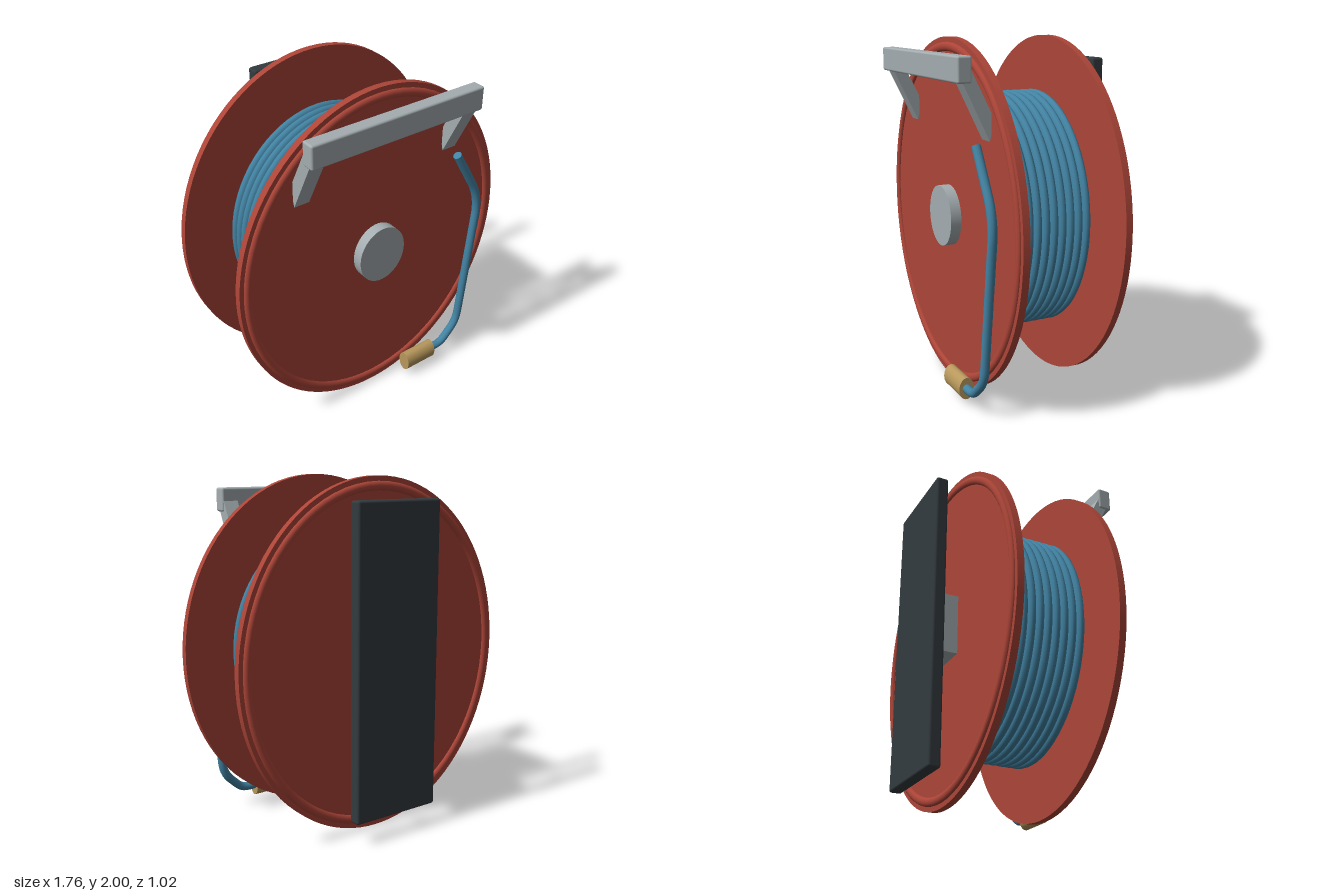
import * as THREE from 'three';
import { RoundedBoxGeometry } from 'three/addons/geometries/RoundedBoxGeometry.js';

const SQUASH_X = 0.882; // round parts of the reel are slightly narrow in x
const SQUASH_Z = 0.7;   // and flattened in depth
const AXLE_Y = 1;

function material(name, color) {
  const m = new THREE.MeshStandardMaterial({ color });
  m.name = name;
  return m;
}

export function createModel() {
  const red = material('red paint', 0xad4538);
  const steel = material('light steel', 0xa4adb0);
  const dark = material('dark steel', 0x333b3f);
  const blue = material('blue hose', 0x4283a3);
  const brass = material('brass', 0xb8985c);

  const model = new THREE.Group();
  model.name = 'hoseReel';

  function add(parent, name, geometry, mat, x = 0, y = 0, z = 0) {
    const mesh = new THREE.Mesh(geometry, mat);
    mesh.name = name;
    mesh.position.set(x, y, z);
    parent.add(mesh);
    return mesh;
  }

  // Elliptical drum lying along z between two depths
  function drum(name, radius, z0, z1, mat, y = AXLE_Y, segments = 64) {
    const g = new THREE.CylinderGeometry(radius, radius, z1 - z0, segments);
    g.rotateX(Math.PI / 2).scale(SQUASH_X, 1, 1);
    return add(model, name, g, mat, 0, y, (z0 + z1) / 2);
  }

  // Elliptical ring around the axle
  function ring(parent, name, radius, tube, z, mat) {
    const g = new THREE.TorusGeometry(radius, tube, 12, 72);
    g.scale(SQUASH_X, 1, SQUASH_Z);
    return add(parent, name, g, mat, 0, AXLE_Y, z);
  }

  // Side discs with a raised bead on the outer face
  for (const [label, s] of [['front', 1], ['back', -1]]) {
    drum(label + 'Disc', 1, s * 0.3 - 0.02, s * 0.3 + 0.02, red, AXLE_Y, 96);
    ring(model, label + 'DiscBead', 0.947, 0.025, s * 0.32, red);
  }

  // Core, axle cap and mounting block
  drum('core', 0.345, -0.285, 0.285, dark);
  drum('axleCap', 0.174, 0.31, 0.382, steel);
  add(model, 'mountingBlock', new THREE.BoxGeometry(0.354, 0.354, 0.14), steel, 0, AXLE_Y, -0.38);

  // Wound hose: outer turns over the packed inner layers
  const coil = new THREE.Group();
  coil.name = 'hoseCoil';
  model.add(coil);
  for (let i = 0; i < 10; i++) ring(coil, 'hoseTurn', 0.658, 0.034, -0.225 + i * 0.05, blue);
  drum('innerHoseLayers', 0.645, -0.225, 0.225, blue);

  // Wall plate and its bolts
  add(model, 'wallPlate', new RoundedBoxGeometry(0.555, 1.752, 0.072, 2, 0.014), dark, 0, 1.004, -0.476);
  for (const y of [0.307, 1.705]) drum('plateBolt', 0.041, -0.45, -0.42, steel, y, 24);

  // Guide bar on two slanted struts
  add(model, 'guideBar', new RoundedBoxGeometry(1.09, 0.136, 0.08, 2, 0.012), steel, 0, 1.858, 0.468);
  const side = new THREE.Shape([
    new THREE.Vector2(0.475, 1.79), new THREE.Vector2(0.455, 1.86), new THREE.Vector2(0.43, 1.855),
    new THREE.Vector2(0.3, 1.6), new THREE.Vector2(0.33, 1.495),
  ]);
  for (const s of [1, -1]) {
    const g = new THREE.ExtrudeGeometry(side, { depth: 0.09, bevelEnabled: false });
    g.translate(0, 0, -0.045).rotateY(-Math.PI / 2); // profile (z, y) extruded along x
    add(model, s > 0 ? 'leftStrut' : 'rightStrut', g, steel, s * 0.492, 0, 0);
  }

  // Loose hose end: straight runs joined by rounded bends
  const p = [[0.505, 1.473, 0.392], [0.705, 1.13, 0.393], [0.607, 0.225, 0.402], [0.48, 0.105, 0.407], [0.38, 0.105, 0.407]]
    .map((a) => new THREE.Vector3(...a));
  const bend = [0, 0.13, 0.07, 0.045];
  const path = new THREE.CurvePath();
  let from = p[0];
  for (let i = 1; i < p.length - 1; i++) {
    const a = p[i].clone().add(p[i - 1].clone().sub(p[i]).setLength(bend[i]));
    const b = p[i].clone().add(p[i + 1].clone().sub(p[i]).setLength(bend[i]));
    path.add(new THREE.LineCurve3(from, a));
    path.add(new THREE.QuadraticBezierCurve3(a, p[i], b));
    from = b;
  }
  path.add(new THREE.LineCurve3(from, p[p.length - 1]));
  add(model, 'hoseTail', new THREE.TubeGeometry(path, 90, 0.025, 14), blue);
  const cap = add(model, 'hoseTailEnd', new THREE.CircleGeometry(0.025, 14), blue, ...p[0].toArray());
  cap.lookAt(p[0].clone().multiplyScalar(2).sub(p[1]));

  // Brass coupling
  const coupling = new THREE.CylinderGeometry(0.063, 0.063, 0.213, 32);
  coupling.rotateZ(Math.PI / 2).scale(1, 1, SQUASH_Z);
  add(model, 'coupling', coupling, brass, 0.288, 0.104, 0.407);

  return model;
}
